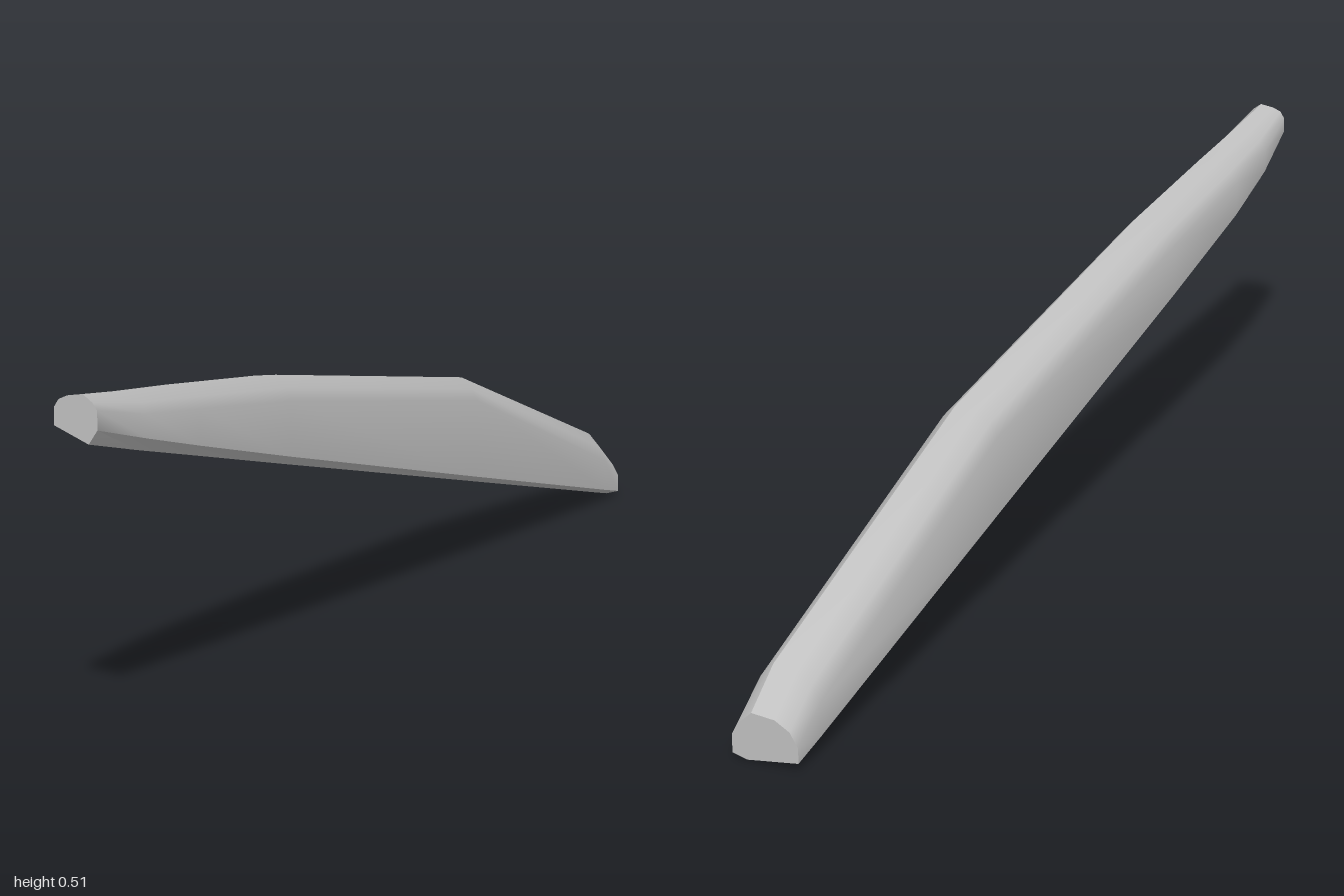
import * as THREE from 'three';
import { toCreasedNormals } from 'three/addons/utils/BufferGeometryUtils.js';

// Stations from back to front:
// z, keel y, crest y, shoulder drop, left edge x, right edge x, left lift, right lift, keel x
const STATIONS = [
  [-1, 0, 0.08, 0.042, -0.056, 0.058, 0.012, 0.007, 0.033],
  [-0.93, 0.015, 0.132, 0.05, -0.057, 0.057, 0.012, 0.007, 0.033],
  [-0.32, 0.148, 0.337, 0.04, -0.058, 0.053, 0.012, 0.009, 0.031],
  [0.4, 0.305, 0.45, 0.04, -0.06, 0.047, 0.012, 0.013, 0.028],
  [0.7, 0.371, 0.481, 0.037, -0.058, 0.045, 0.012, 0.016, 0.027],
  [0.86, 0.406, 0.496, 0.034, -0.05, 0.043, 0.016, 0.019, 0.026],
  [1, 0.438, 0.512, 0.023, -0.033, 0.04, 0.024, 0.022, 0.025],
];

// Nine-sided outline: flat underside, straight sides and a rounded top
function outline([z, keel, crest, drop, left, right, liftL, liftR, keelX]) {
  return [
    [left, keel + liftL],
    [keelX, keel],
    [right, keel + liftR],
    [right, crest - drop],
    [right * 0.8, crest - drop * 0.5],
    [right * 0.4, crest],
    [left * 0.3, crest - 0.004],
    [left * 0.75, crest - drop * 0.45],
    [left, crest - drop],
  ].map(([x, y]) => [x, y, z]);
}

function loft(sections) {
  const n = sections[0].length;
  const positions = [];
  const tri = (a, b, c) => positions.push(...a, ...b, ...c);
  // Skin between neighbouring stations
  for (let s = 0; s < sections.length - 1; s++) {
    const back = sections[s], front = sections[s + 1];
    for (let i = 0; i < n; i++) {
      const j = (i + 1) % n;
      tri(back[i], back[j], front[j]);
      tri(back[i], front[j], front[i]);
    }
  }
  // Flat end caps
  const first = sections[0], last = sections[sections.length - 1];
  for (let i = 1; i < n - 1; i++) {
    tri(first[0], first[i + 1], first[i]);
    tri(last[0], last[i], last[i + 1]);
  }
  const geometry = new THREE.BufferGeometry();
  geometry.setAttribute('position', new THREE.Float32BufferAttribute(positions, 3));
  return toCreasedNormals(geometry, 0.7);
}

export function createModel() {
  const grey = new THREE.MeshStandardMaterial({ color: 0xc0c0c0 });
  grey.name = 'light grey';

  const group = new THREE.Group();
  group.name = 'taperedBeam';

  const beam = new THREE.Mesh(loft(STATIONS.map(outline)), grey);
  beam.name = 'beam';
  group.add(beam);
  return group;
}
